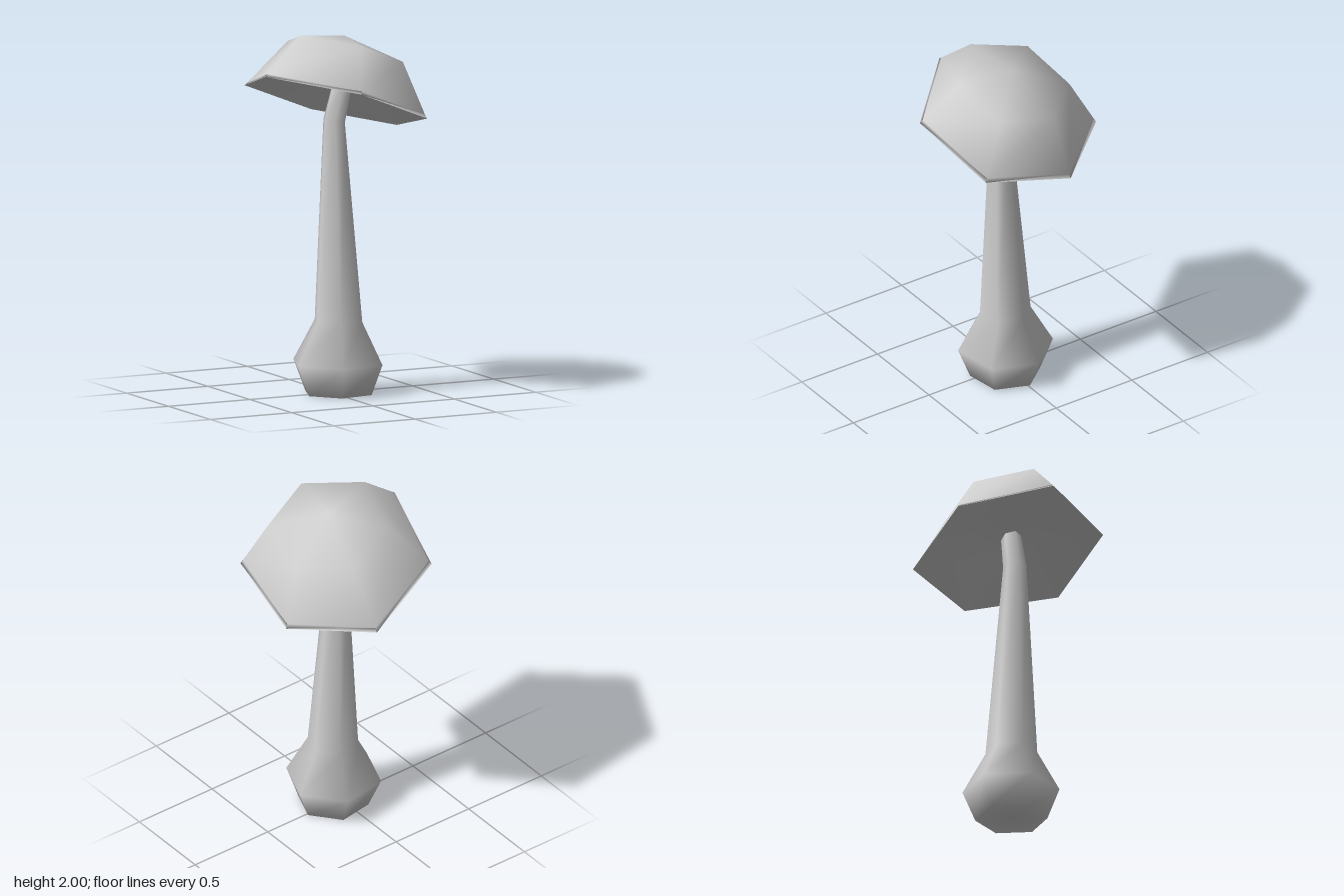
import * as THREE from 'three';
import { mergeVertices } from 'three/addons/utils/BufferGeometryUtils.js';

// Skin rings of equal point count, listed from the bottom pole to the top pole
function loft(rings) {
  const n = rings[0].length;
  const positions = rings.flatMap(ring => ring.flatMap(p => p.toArray()));
  const index = [];
  for (let r = 0; r < rings.length - 1; r++) {
    for (let k = 0; k < n; k++) {
      const a = r * n + k, b = r * n + (k + 1) % n;
      index.push(a, a + n, b, a + n, b + n, b);
    }
  }
  let geo = new THREE.BufferGeometry();
  geo.setAttribute('position', new THREE.Float32BufferAttribute(positions, 3));
  geo.setIndex(index);
  geo = mergeVertices(geo);
  geo.computeVertexNormals();
  return geo;
}

export function createModel() {
  const group = new THREE.Group();
  const grey = new THREE.MeshStandardMaterial({ color: 0xcccccc });
  grey.name = 'light grey';

  const add = (name, rings) => {
    const mesh = new THREE.Mesh(loft(rings), grey);
    mesh.name = name;
    group.add(mesh);
  };

  // Stem with a swollen foot: centre x, y, z, radius, lean of the ring
  const start = THREE.MathUtils.degToRad(-9);
  const stemRing = ([x, y, z, r, lean = 0]) => Array.from({ length: 6 }, (_, k) => {
    const a = start + k * Math.PI / 3;
    const dx = r * Math.cos(a);
    return new THREE.Vector3(x + dx, y - lean * dx, z + r * Math.sin(a));
  });
  add('stem', [
    [0.035, 0.005, 0.02, 0],
    [0.035, 0, 0.02, 0.198],
    [0.033, 0.17, 0.017, 0.266],
    [0.035, 0.4, 0.02, 0.142],
    [0.003, 1.51, 0.03, 0.064, 0.15],
    [0.055, 1.7, 0.025, 0.056, 0.3],
    [0.08, 1.8, 0.02, 0.05, 0.3],
    [0.08, 1.8, 0.02, 0],
  ].map(stemRing));

  // Tilted six-sided cap: every ring is the rim, scaled and shifted
  const rim = [
    [0.465, 1.43, -0.12], [0.39, 1.545, 0.39], [-0.075, 1.73, 0.51],
    [-0.465, 1.8, 0.115], [-0.33, 1.67, -0.39], [0.14, 1.485, -0.51],
  ].map(p => new THREE.Vector3(...p));
  const middle = new THREE.Vector3(0.01, 1.61, 0);
  const capRing = ([x, y, z, s]) =>
    rim.map(p => p.clone().sub(middle).multiplyScalar(s).add(new THREE.Vector3(x, y, z)));
  add('cap', [
    [0.05, 1.71, 0.01, 0],        // hollow underside
    [0.04, 1.7, 0.01, 0.3],
    [0.01, 1.61, 0, 1],           // rim
    [0.013, 1.63, 0, 0.97],       // lip
    [0.075, 1.885, 0, 0.63],      // shoulder
    [0.08, 1.972, 0, 0],          // crown
  ].map(capRing));

  return group;
}
